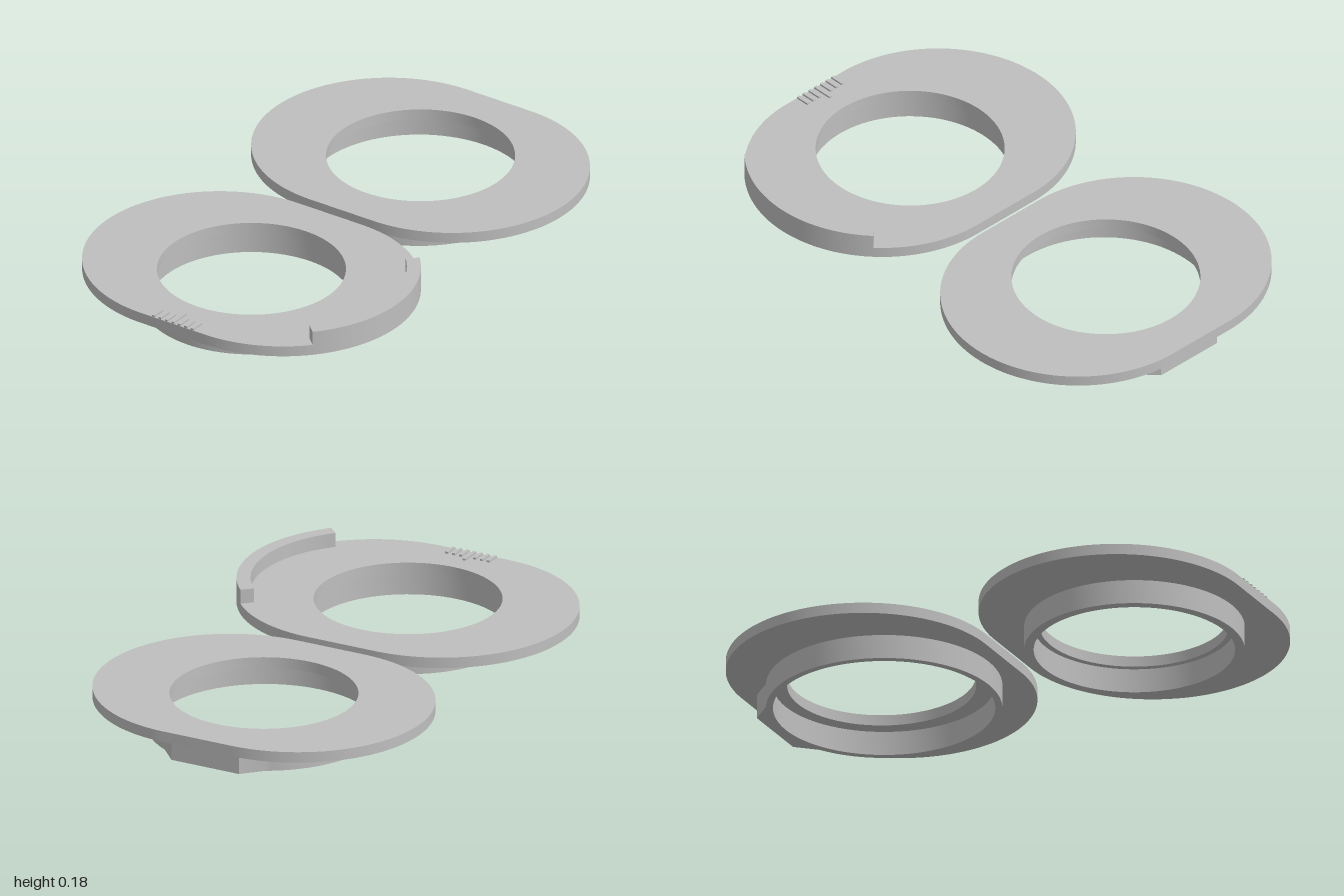
import * as THREE from 'three';
import { toCreasedNormals } from 'three/addons/utils/BufferGeometryUtils.js';

const SEG = 48;

export function createModel() {
  const grey = new THREE.MeshStandardMaterial({ color: 0xbfbfbf });
  grey.name = 'grey';
  const model = new THREE.Group();
  model.name = 'twoPartRing';

  // Extrude a floor-plan shape (shape y becomes z) between two heights
  function slab(parent, name, shape, y0, y1, x = 0, z = 0) {
    let geo = new THREE.ExtrudeGeometry(shape, { depth: y1 - y0, bevelEnabled: false, curveSegments: SEG });
    geo.rotateX(Math.PI / 2).translate(x, y1, z);
    geo = toCreasedNormals(geo, 0.4);
    const mesh = new THREE.Mesh(geo, grey);
    mesh.name = name;
    parent.add(mesh);
    return mesh;
  }

  const hole = (shape, r, z = 0) => {
    shape.holes.push(new THREE.Path().absarc(0, z, r, 0, Math.PI * 2, true));
    return shape;
  };

  // Flange: rounded oval with a round opening
  const END = 0.137, R = 0.488, OPEN = 0.335;
  function flangeShape() {
    const s = new THREE.Shape();
    s.absarc(END, 0, R, -Math.PI / 2, Math.PI / 2, false);
    s.absarc(-END, 0, R, Math.PI / 2, Math.PI * 1.5, false);
    s.closePath();
    return hole(s, OPEN);
  }

  // Front half: flange, collar, curved stop and scale marks
  const front = new THREE.Group();
  front.name = 'frontHalf';
  front.position.set(-0.011, 0, 0.51);
  slab(front, 'frontFlange', flangeShape(), 0.09, 0.13);
  const collar = new THREE.Shape().absarc(0, 0, 0.391, 0, Math.PI * 2, false);
  slab(front, 'frontCollar', hole(collar, 0.357), 0, 0.09);

  const A = 0.745;
  const stop = new THREE.Shape();
  stop.absarc(END, 0, R, -A, A, false);
  stop.absarc(END, 0, R - 0.05, A, -A, true);
  stop.closePath();
  slab(front, 'curvedStop', stop, 0.13, 0.183);

  for (let i = -3; i <= 3; i++) {
    const len = i === 0 ? 0.08 : 0.054;
    const mark = new THREE.Mesh(new THREE.BoxGeometry(0.012, 0.007, len), grey);
    mark.name = 'scaleMark';
    mark.position.set(i * 0.028, 0.1335, R - 0.001 - len / 2);
    front.add(mark);
  }
  model.add(front);

  // Back half: flange and wider collar with a flat lug at the back
  const back = new THREE.Group();
  back.name = 'backHalf';
  back.position.set(0.005, 0, -0.512);
  slab(back, 'backFlange', flangeShape(), 0.09, 0.13);
  const r = 0.419, a = Math.atan2(0.368, 0.205);
  const socket = new THREE.Shape();
  socket.absarc(0, 0, r, -a, Math.PI + a, false);
  socket.lineTo(-END, -0.438);
  socket.lineTo(END, -0.438);
  socket.closePath();
  slab(back, 'backCollar', hole(socket, 0.394), 0, 0.09, 0, 0.01);
  model.add(back);

  return model;
}
